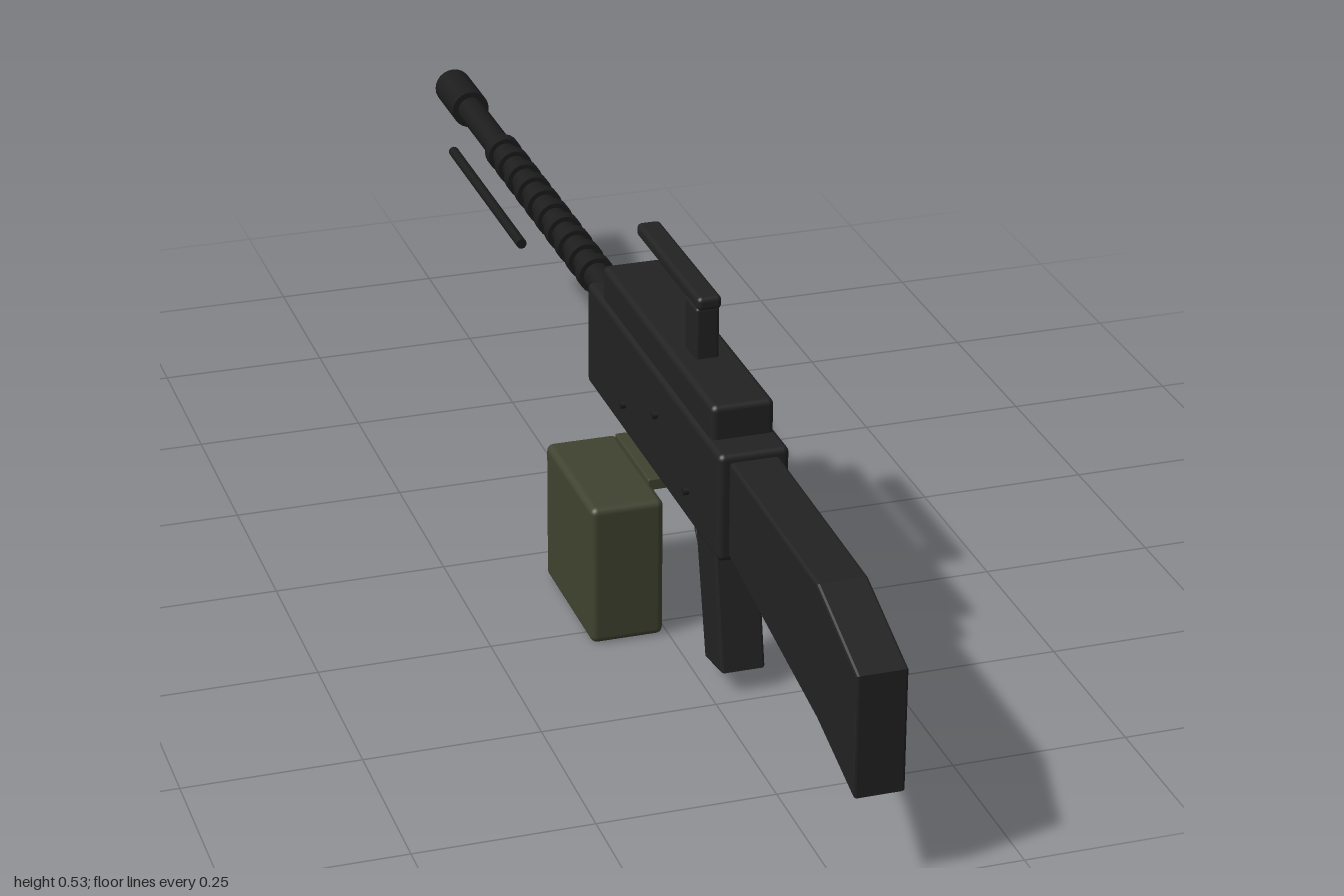
import * as THREE from 'three';
import { RoundedBoxGeometry } from 'three/addons/geometries/RoundedBoxGeometry.js';

const CX = 0.047; // centre line of the body

export function createModel() {
  const root = new THREE.Group();
  root.name = 'machineGun';
  const mat = (name, color) => {
    const m = new THREE.MeshStandardMaterial({ color });
    m.name = name;
    return m;
  };
  const body = mat('blackBody', 0x222222);
  const steel = mat('darkSteel', 0x1c1c1c);
  const olive = mat('oliveBox', 0x3f432f);

  const add = (name, geo, material, x = 0, y = 0, z = 0) => {
    const mesh = new THREE.Mesh(geo, material);
    mesh.name = name;
    mesh.position.set(x, y, z);
    root.add(mesh);
    return mesh;
  };
  // Rounded box given by its limits on each axis
  const box = (name, material, [x0, x1], [y0, y1], [z0, z1], r) =>
    add(name, new RoundedBoxGeometry(x1 - x0, y1 - y0, z1 - z0, 3, r), material,
      (x0 + x1) / 2, (y0 + y1) / 2, (z0 + z1) / 2);
  // Cylinder along z
  const rod = (name, material, r, z0, z1, x, y, sides = 24) =>
    add(name, new THREE.CylinderGeometry(r, r, z1 - z0, sides).rotateX(Math.PI / 2),
      material, x, y, (z0 + z1) / 2);
  // Side profile of (z, y) points, extruded across x with a small bevel
  const slab = (name, material, points, width) => {
    const b = 0.004;
    const shape = new THREE.Shape(points.map(([z, y]) => new THREE.Vector2(-z, y)));
    const geo = new THREE.ExtrudeGeometry(shape, {
      depth: width - 2 * b, bevelThickness: b, bevelSize: b, bevelOffset: -b, bevelSegments: 2,
    });
    geo.translate(0, 0, -width / 2 + b).rotateY(Math.PI / 2);
    return add(name, geo, material, CX);
  };

  // Receiver, top cover and carrying handle
  box('receiver', body, [-0.003, 0.097], [0.225, 0.385], [-0.09, 0.51], 0.009);
  box('topCover', body, [0.003, 0.092], [0.375, 0.434], [-0.035, 0.46], 0.009);
  box('handlePost', body, [0.03, 0.064], [0.42, 0.51], [0.26, 0.31], 0.005);
  box('handleBar', body, [0.03, 0.065], [0.508, 0.528], [0.04, 0.317], 0.007);

  // Shoulder stock and pistol grip
  slab('stock', body, [[0.5, 0.374], [0.85, 0.365], [1, 0.311], [1, 0.135],
    [0.86, 0.175], [0.5, 0.234]], 0.07);
  slab('grip', body, [[0.435, 0.24], [0.352, 0.24], [0.405, 0.023], [0.477, 0.034]], 0.064);

  // Trigger guard
  add('triggerGuard', new THREE.TorusGeometry(0.052, 0.005, 8, 24, Math.PI)
    .rotateZ(Math.PI).rotateY(Math.PI / 2), steel, CX, 0.183, 0.32);

  // Barrel with cooling rings and muzzle
  const barrelY = 0.34;
  rod('barrel', steel, 0.021, -0.95, -0.08, CX, barrelY);
  rod('muzzle', steel, 0.03, -1, -0.893, CX, barrelY);
  for (let i = 0; i < 10; i++) {
    const z = -0.212 - i * 0.0542;
    rod('coolingRing', steel, 0.028, z - 0.011, z + 0.011, CX, barrelY);
  }

  // Folded bipod legs
  for (const side of [-1, 1]) {
    rod('bipodLeg', steel, 0.008, -0.86, -0.468, CX + side * 0.039, 0.285, 12);
  }

  // Charging handle and side pins
  box('chargingHandle', steel, [0.09, 0.111], [0.327, 0.35], [0.065, 0.145], 0.003);
  for (const [z, y] of [[0.24, 0.323], [0.093, 0.271], [0.378, 0.271]]) {
    add('pin', new THREE.CylinderGeometry(0.0055, 0.0055, 0.115, 12).rotateZ(Math.PI / 2),
      steel, CX, y, z);
  }

  // Ammunition box and its feed bracket
  box('ammoBox', olive, [-0.113, -0.007], [0.001, 0.213], [0.064, 0.289], 0.01);
  box('feedBracket', olive, [-0.015, 0.014], [0.206, 0.223], [0.085, 0.24], 0.002);

  return root;
}
